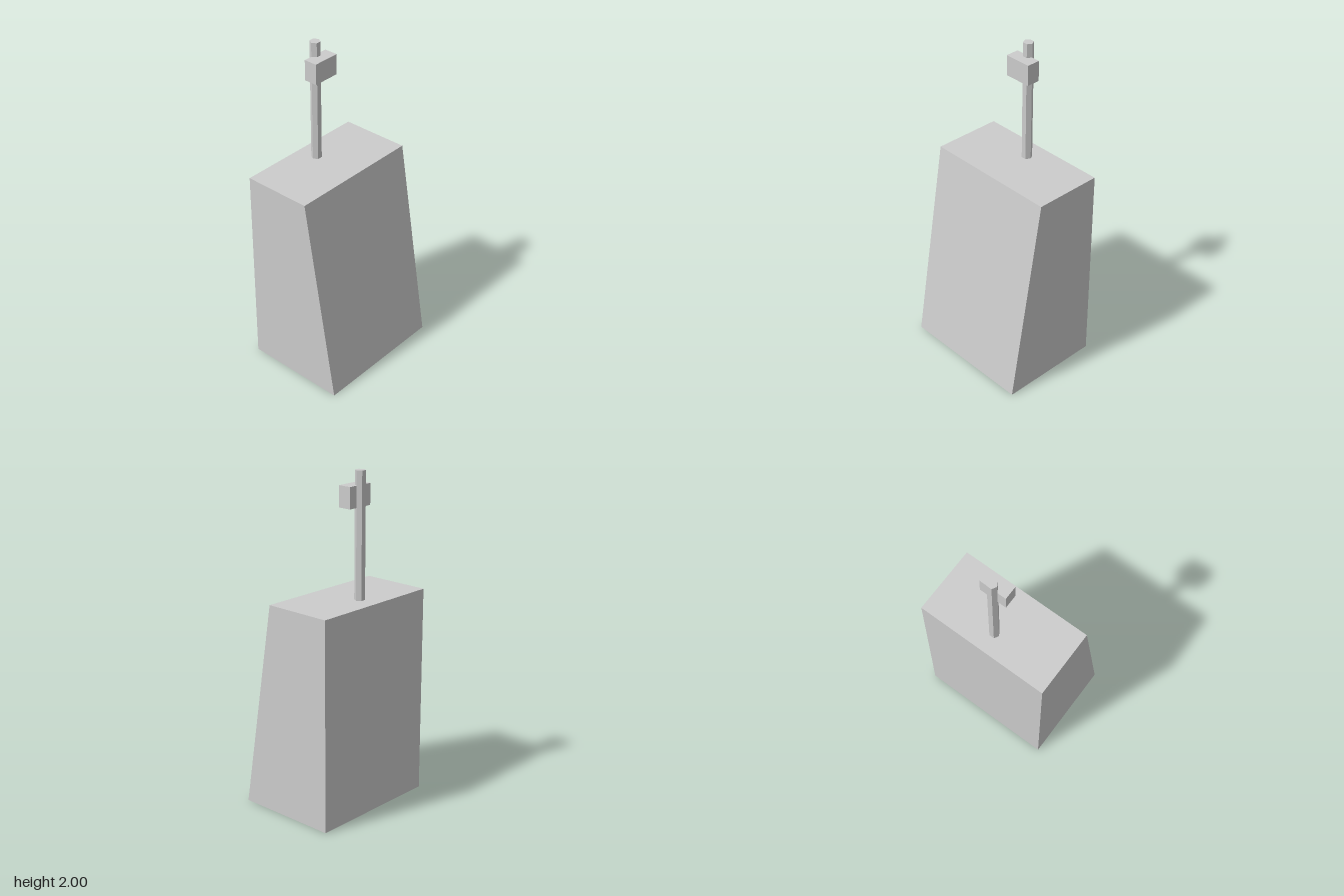
import * as THREE from 'three';

export function createModel() {
  const model = new THREE.Group();
  const grey = new THREE.MeshStandardMaterial({ color: 0xcccccc });
  grey.name = 'light grey';

  const add = (name, geometry, x, y, z) => {
    const mesh = new THREE.Mesh(geometry, grey);
    mesh.name = name;
    mesh.position.set(x, y, z);
    model.add(mesh);
  };

  // Wedge body: side profile (z, y) extruded across the width
  const width = 0.84, height = 1.262;
  const profile = new THREE.Shape([
    new THREE.Vector2(-0.316, 0),
    new THREE.Vector2(0.316, 0),
    new THREE.Vector2(0.105, height),
    new THREE.Vector2(-0.316, height),
  ]);
  const body = new THREE.ExtrudeGeometry(profile, { depth: width, bevelEnabled: false });
  body.translate(0, 0, -width / 2).rotateY(-Math.PI / 2);
  add('body', body, 0, 0, 0);

  // Hexagonal pole with corners pointing sideways and flat-shaded sides
  const poleHeight = 2 - height;
  const pole = new THREE.CylinderGeometry(0.031, 0.031, poleHeight, 6)
    .rotateY(Math.PI / 6).toNonIndexed();
  pole.computeVertexNormals();
  add('pole', pole, 0, height + poleHeight / 2, -0.191);

  // Small box mounted on the front of the pole
  add('poleBox', new THREE.BoxGeometry(0.168, 0.124, 0.082), 0, 1.854, -0.15);

  return model;
}
